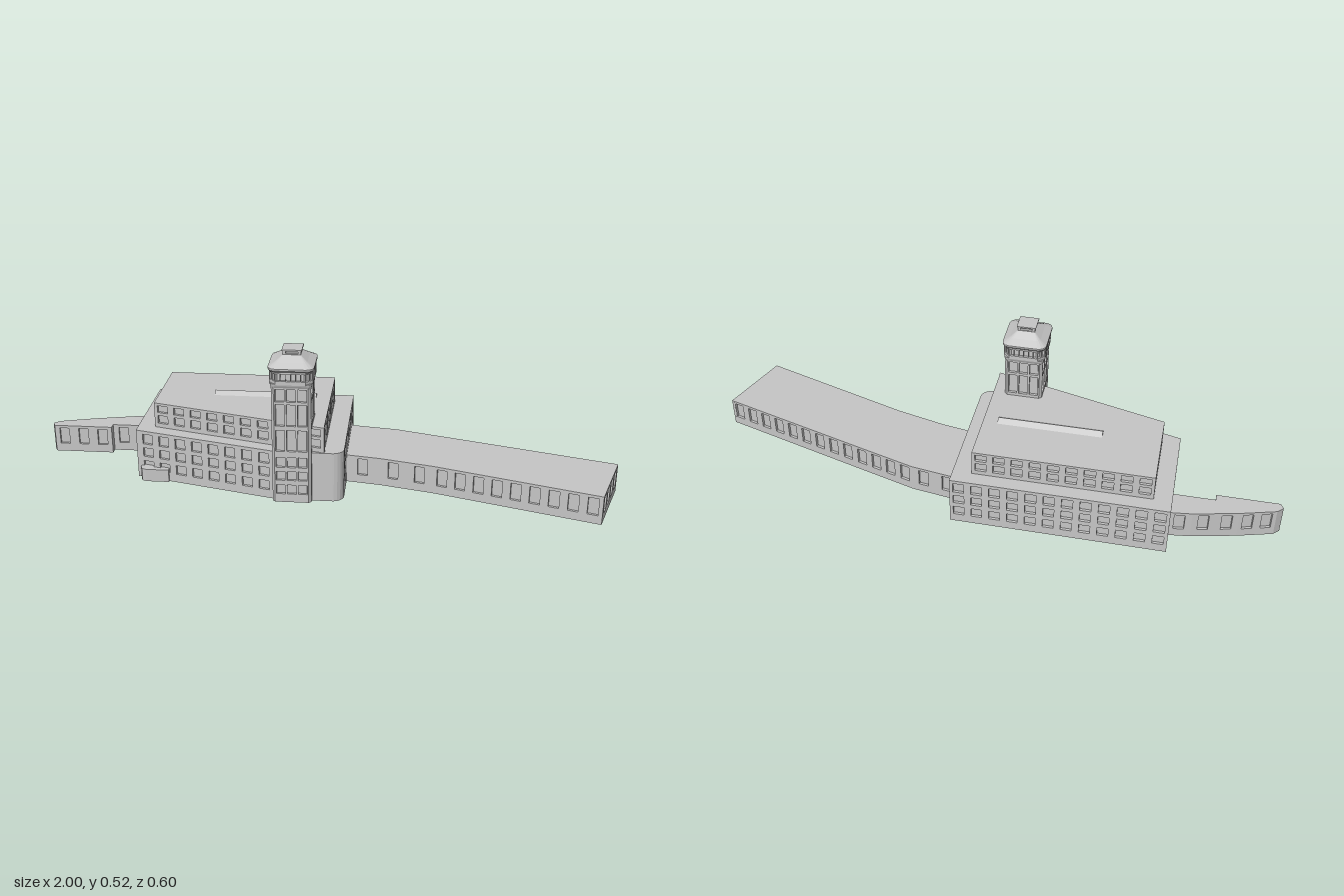
import * as THREE from 'three';

const stone = new THREE.MeshStandardMaterial({ color: 0xc6c6c6 });
stone.name = 'pale stone';
const D = 0.009; // depth of window recesses

// horizontal slab from [x, z] points, listed front edge first going +x
function slab(pts, y0, y1, name) {
  const shape = new THREE.Shape(pts.map(([x, z]) => new THREE.Vector2(x, -z)));
  const g = new THREE.ExtrudeGeometry(shape, { depth: y1 - y0, bevelEnabled: false });
  g.rotateX(-Math.PI / 2).translate(0, y0, 0);
  const m = new THREE.Mesh(g, stone);
  m.name = name;
  return m;
}

// move every side of the outline inwards by d
function inset(pts, d) {
  const n = pts.length;
  return pts.map((p, i) => {
    const a = pts[(i + n - 1) % n], b = pts[(i + 1) % n];
    const l1 = Math.hypot(p[0] - a[0], p[1] - a[1]), l2 = Math.hypot(b[0] - p[0], b[1] - p[1]);
    const n1 = [(p[1] - a[1]) / l1, -(p[0] - a[0]) / l1];
    const n2 = [(b[1] - p[1]) / l2, -(b[0] - p[0]) / l2];
    const k = d / (1 + n1[0] * n2[0] + n1[1] * n2[1]);
    return [p[0] + (n1[0] + n2[0]) * k, p[1] + (n1[1] + n2[1]) * k];
  });
}

// evenly spaced window centres along a wall of length len
const even = (n, len, margin = 0) =>
  Array.from({ length: n }, (_, i) => margin + (len - 2 * margin) * (i + 0.5) / n);

// wall panel with window openings, running from p to q
function wall(p, q, y0, y1, spec) {
  const dx = q[0] - p[0], dz = q[1] - p[1], len = Math.hypot(dx, dz);
  const s = new THREE.Shape();
  s.moveTo(0, y0).lineTo(len, y0).lineTo(len, y1).lineTo(0, y1).closePath();
  for (const { n, at, margin, w, rows } of spec) {
    for (const c of at || even(n, len, margin)) {
      for (const [b, t] of rows) {
        const h = new THREE.Path();
        h.moveTo(c - w / 2, b).lineTo(c - w / 2, t).lineTo(c + w / 2, t).lineTo(c + w / 2, b).closePath();
        s.holes.push(h);
      }
    }
  }
  const m = new THREE.Mesh(new THREE.ExtrudeGeometry(s, { depth: D, bevelEnabled: false }), stone);
  m.rotation.y = Math.atan2(-dz, dx);
  m.position.set(p[0] + dz / len * D, 0, p[1] - dx / len * D);
  m.name = 'windowWall';
  return m;
}

// storey block: recessed core, wall panels and roof/floor slabs
function block(name, pts, y0, y1, specs) {
  const g = new THREE.Group();
  g.name = name;
  g.add(slab(inset(pts, D), y0, y1, 'core'));
  g.add(slab(pts, y0, y0 + 0.002, 'floor'), slab(pts, y1 - 0.002, y1, 'roof'));
  pts.forEach((p, i) => g.add(wall(p, pts[(i + 1) % pts.length], y0, y1, specs[i] || [])));
  return g;
}

// rectangle outline with cut corners
function cutRect(cx, cz, w, d, c) {
  const a = w / 2, b = d / 2;
  return [[-a + c, b], [a - c, b], [a, b - c], [a, -b + c], [a - c, -b], [-a + c, -b], [-a, -b + c], [-a, b - c]]
    .map(([x, z]) => [cx + x, cz + z]);
}

// skin through rounded-rectangle rings [y, width, depth, radius]
function loft(name, cx, cz, rings) {
  const pos = [], N = 16;
  const loops = rings.map(([y, w, d, r]) => Array.from({ length: N }, (_, i) => {
    const q = Math.floor(i / 4), a = (q + (i % 4) / 3) * Math.PI / 2;
    const sx = q === 0 || q === 3 ? 1 : -1, sz = q < 2 ? 1 : -1;
    return [cx + sx * (w / 2 - r) + r * Math.cos(a), y, cz + sz * (d / 2 - r) + r * Math.sin(a)];
  }));
  for (let k = 0; k + 1 < loops.length; k++) {
    for (let i = 0; i < N; i++) {
      const j = (i + 1) % N, A = loops[k], B = loops[k + 1];
      pos.push(...A[i], ...B[i], ...B[j], ...A[i], ...B[j], ...A[j]);
    }
  }
  const top = loops[loops.length - 1];
  for (let i = 0; i < N; i++) pos.push(cx, top[0][1], cz, ...top[(i + 1) % N], ...top[i]);
  const g = new THREE.BufferGeometry();
  g.setAttribute('position', new THREE.Float32BufferAttribute(pos, 3));
  g.computeVertexNormals();
  const m = new THREE.Mesh(g, stone);
  m.name = name;
  return m;
}

export function createModel() {
  const model = new THREE.Group();
  model.name = 'building';

  // main block with rounded front corner
  const rows = [[0.03, 0.063], [0.08, 0.112], [0.127, 0.163]];
  const arc = even(5, Math.PI / 2).map(a => [0.047 + 0.038 * Math.sin(a), 0.172 + 0.038 * Math.cos(a)]);
  const main = [[-0.64, 0.08], [-0.14, 0.21], [0.047, 0.21], ...arc, [0.085, 0.172], [0.085, -0.3], [-0.64, -0.3]];
  const mainSpecs = [];
  mainSpecs[0] = [{ n: 8, margin: 0.012, w: 0.037, rows }];
  mainSpecs[8] = [
    { at: [0.054, 0.422], w: 0.037, rows },
    { at: [0.15, 0.212, 0.269, 0.33], w: 0.037, rows: [rows[2]] },
  ];
  mainSpecs[9] = [{ n: 12, w: 0.037, rows }];
  mainSpecs[10] = [{ n: 6, w: 0.037, rows }];
  model.add(block('mainBlock', main, 0, 0.175, mainSpecs));

  // set-back upper storeys
  const upRows = [[0.19, 0.219], [0.23, 0.255]];
  const up = { w: 0.038, rows: upRows };
  model.add(block('upperStoreys', [[-0.58, 0.045], [0.02, 0.207], [0.02, -0.25], [-0.58, -0.25]], 0.17, 0.264, [
    [{ n: 10, ...up }],
    [{ at: [0.049, 0.11, 0.169, 0.227, 0.287, 0.347, 0.407], ...up }],
    [{ n: 10, ...up }],
    [{ n: 5, ...up }],
  ]));

  // low ridge along the roof
  const tri = new THREE.Shape([[-0.02, 0], [0.02, 0], [0, 0.012]].map(p => new THREE.Vector2(...p)));
  const ridge = new THREE.Mesh(new THREE.ExtrudeGeometry(tri, { depth: 0.355, bevelEnabled: false }), stone);
  ridge.rotation.y = Math.PI / 2;
  ridge.position.set(-0.385, 0.264, -0.063);
  ridge.name = 'roofRidge';
  model.add(ridge);

  // tower shaft, flared gallery, hipped roof and lantern
  const cx = -0.085, cz = 0.157;
  const shaftRows = [...rows, [0.185, 0.26], [0.275, 0.35], [0.36, 0.403]];
  const shaftWide = [{ n: 3, margin: 0.001, w: 0.03, rows: shaftRows }];
  const shaftSide = [{ n: 3, w: 0.034, rows: shaftRows.slice(3) }];
  model.add(block('towerShaft', cutRect(cx, cz, 0.13, 0.143, 0.009), 0, 0.413,
    [shaftWide, [], shaftSide, [], shaftWide, [], shaftSide, []]));
  model.add(loft('galleryFlare', cx, cz, [[0.408, 0.13, 0.143, 0.01], [0.415, 0.136, 0.15, 0.016], [0.423, 0.142, 0.155, 0.022]]));
  const bay = [{ n: 6, w: 0.0145, rows: [[0.433, 0.458]] }];
  const bayCorner = [{ n: 2, w: 0.011, rows: [[0.433, 0.458]] }];
  model.add(block('towerGallery', cutRect(cx, cz, 0.142, 0.155, 0.022), 0.42, 0.467,
    [bay, bayCorner, bay, bayCorner, bay, bayCorner, bay, bayCorner]));
  model.add(loft('towerRoof', cx, cz, [
    [0.463, 0.14, 0.153, 0.022], [0.47, 0.15, 0.165, 0.026], [0.476, 0.15, 0.165, 0.026],
    [0.49, 0.104, 0.112, 0.012], [0.507, 0.058, 0.058, 0.002],
  ]));
  const pane = [{ n: 1, w: 0.044, rows: [[0.51, 0.517]] }];
  const lantern = [[-0.029, 0.029], [0.029, 0.029], [0.029, -0.029], [-0.029, -0.029]].map(([x, z]) => [cx + x, cz + z]);
  model.add(block('lantern', lantern, 0.504, 0.52, [pane, pane, pane, pane]));
  const cap = new THREE.Mesh(new THREE.BoxGeometry(0.065, 0.004, 0.065), stone);
  cap.position.set(cx, 0.522, cz);
  cap.name = 'lanternCap';
  model.add(cap);

  // long bent wing on the left side
  const low = [[0.03, 0.09]];
  const wing = [[0.08, 0.055], [0.2, 0.075], [0.38, 0.12], [0.92, 0.295], [1, 0.048], [0.42, -0.125], [0.25, -0.175], [0.08, -0.2]];
  model.add(block('longWing', wing, 0, 0.1, [
    [{ n: 1, w: 0.035, rows: low }],
    [{ n: 2, w: 0.035, rows: low }],
    [{ n: 9, w: 0.035, rows: low }],
    [{ n: 4, margin: 0.01, w: 0.036, rows: low }],
    [{ n: 10, w: 0.035, rows: low }],
    [{ n: 3, w: 0.035, rows: low }],
    [{ n: 2, w: 0.035, rows: low }],
  ]));

  // short tapering wing on the right side
  const small = [[-0.78, -0.125], [-0.63, -0.125], [-0.63, -0.22], [-0.71, -0.21], [-0.86, -0.175], [-0.98, -0.14], [-1, -0.12], [-0.99, -0.1], [-0.78, -0.1]];
  const one = [{ n: 1, w: 0.035, rows: low }], two = [{ n: 2, w: 0.035, rows: low }];
  model.add(block('shortWing', small, 0, 0.1, [two, [], one, two, two, [], [], [{ n: 3, w: 0.035, rows: low }]]));

  // entrance porch
  model.add(slab([[-0.605, 0.118], [-0.525, 0.118], [-0.525, 0.06], [-0.625, 0.06], [-0.625, 0.1], [-0.619, 0.112]], 0, 0.045, 'porch'));
  return model;
}
